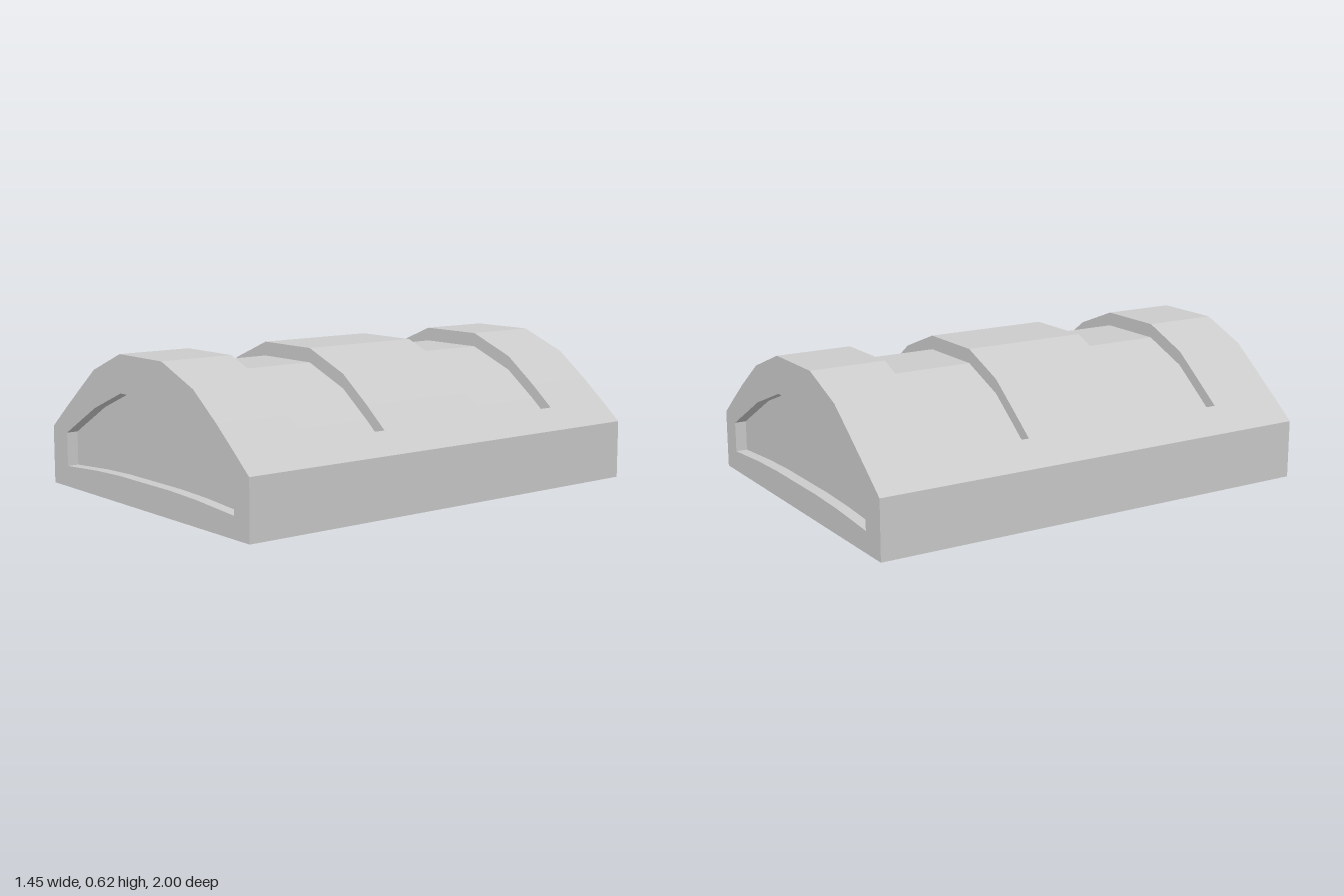
import * as THREE from 'three';

// Cross-sections as [x, y], running from left to right over the top
const LIP_L = [-0.615, 0.34], LIP_R = [0.63, 0.331];
const CROWN = [[-0.5, 0.43], [-0.37, 0.53], [-0.16, 0.615], [0.15, 0.615], [0.37, 0.53], [0.52, 0.42]];
const ARCH = [LIP_L, ...CROWN, LIP_R];
const LEFT = [[-0.727, 0], [-0.727, 0.25]], RIGHT = [[0.727, 0.25], [0.727, 0]];
const SUNK = ARCH.map(([x, y]) => [x, y - 0.06]);
const FULL = [...LEFT, ...ARCH, ...RIGHT];
const POCKET = [...LEFT, LIP_L, ...SUNK, LIP_R, ...RIGHT];
const RECESS = [
  [-0.61, 0.09], [-0.61, 0.235], [-0.37, 0.37], [-0.16, 0.455], [0.15, 0.455], [0.37, 0.37],
  [0.63, 0.22], [0.63, 0.09], [0.38, 0.107], [0.2, 0.113], [-0.18, 0.113], [-0.36, 0.107],
];
const RECESS_DEPTH = 0.05;

const material = new THREE.MeshStandardMaterial({ color: 0xcccccc, flatShading: true });
const toVectors = (points) => points.map(([x, y]) => new THREE.Vector2(x, y));

function addMesh(group, name, geometry) {
  const mesh = new THREE.Mesh(geometry, material);
  mesh.name = name;
  group.add(mesh);
}

// Closed loop of side walls between two depths, without end caps
function walls(points, zBack, zFront) {
  const position = [];
  points.forEach(([ax, ay], i) => {
    const [bx, by] = points[(i + 1) % points.length];
    position.push(ax, ay, zFront, bx, by, zFront, bx, by, zBack);
    position.push(ax, ay, zFront, bx, by, zBack, ax, ay, zBack);
  });
  const geometry = new THREE.BufferGeometry();
  geometry.setAttribute('position', new THREE.Float32BufferAttribute(position, 3));
  geometry.computeVertexNormals();
  return geometry;
}

// Flat face at depth z, looking to +z (side 1) or -z (side -1)
function face(points, z, side, hole) {
  const shape = new THREE.Shape(toVectors(points));
  if (hole) shape.holes.push(new THREE.Path(toVectors(hole)));
  const geometry = new THREE.ShapeGeometry(shape).translate(0, 0, z);
  if (side < 0) {
    geometry.setIndex(Array.from(geometry.index.array).reverse());
    geometry.computeVertexNormals();
  }
  return geometry;
}

export function createModel() {
  const model = new THREE.Group();
  model.name = 'vaultedBlock';

  // Full-height bays alternating with bays that carry a sunken roof panel
  const cuts = [-1, -0.67, -0.275, 0.275, 0.67, 1];
  for (let i = 0; i < 5; i++) {
    const sunken = i % 2 === 1;
    addMesh(model, sunken ? 'sunkenBay' : 'fullBay', walls(sunken ? POCKET : FULL, cuts[i], cuts[i + 1]));
  }

  // Arched steps at both ends of each sunken panel
  const step = [...ARCH, ...[...SUNK].reverse()];
  for (const i of [1, 3]) {
    addMesh(model, 'archStep', face(step, cuts[i], 1));
    addMesh(model, 'archStep', face(step, cuts[i + 1], -1));
  }

  // End walls, each with a recessed panel
  const inward = [...RECESS].reverse();
  for (const side of [1, -1]) {
    const end = new THREE.Group();
    end.name = side > 0 ? 'frontEnd' : 'backEnd';
    const floor = side * (1 - RECESS_DEPTH);
    addMesh(end, 'endFrame', face(FULL, side, side, RECESS));
    addMesh(end, 'recessWalls', walls(inward, Math.min(side, floor), Math.max(side, floor)));
    addMesh(end, 'recessPanel', face(RECESS, floor, side));
    model.add(end);
  }
  return model;
}
